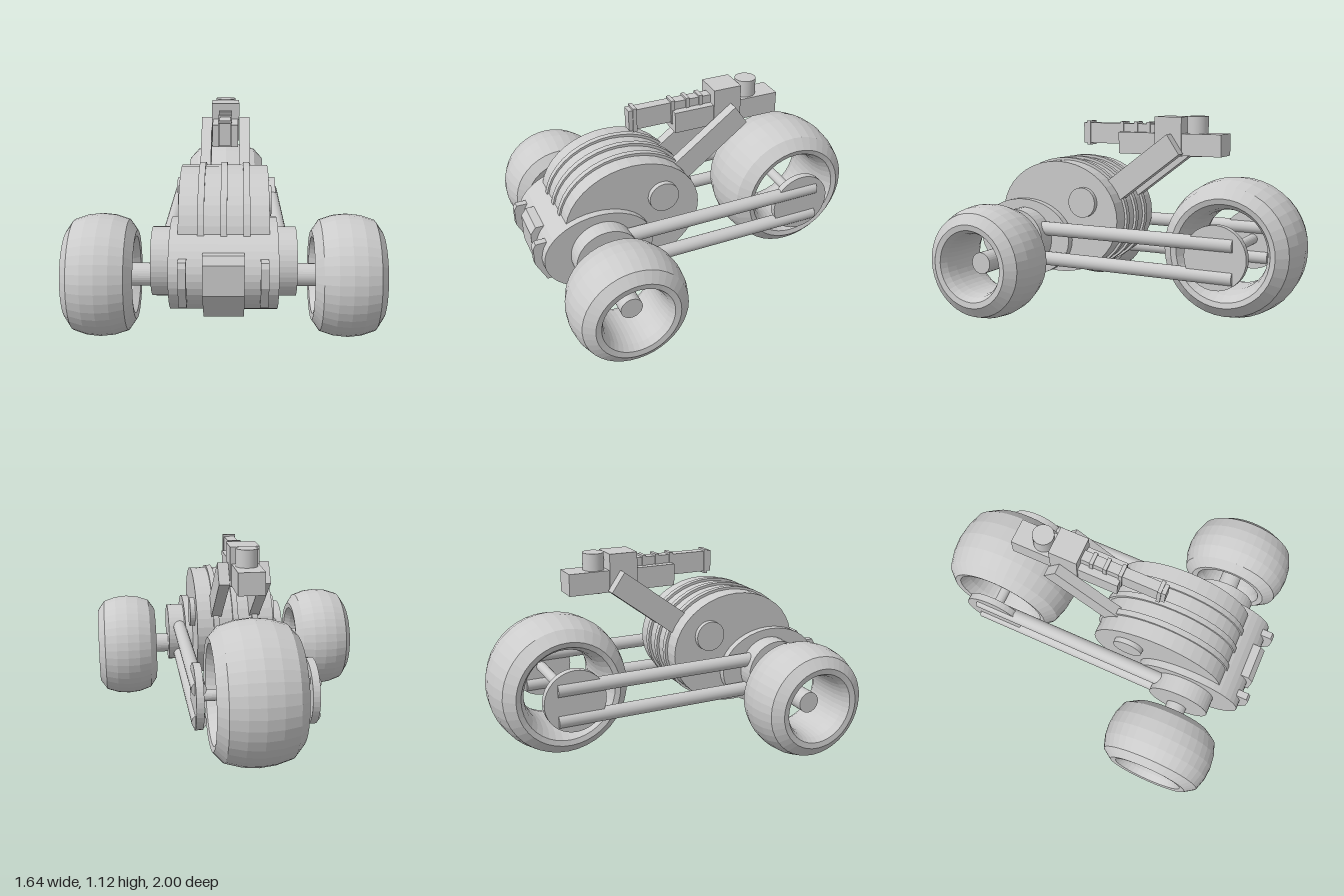
import * as THREE from 'three';

const material = new THREE.MeshStandardMaterial({ color: 0xcccccc });
const flat = new THREE.MeshStandardMaterial({ color: 0xcccccc, flatShading: true });

export function createModel() {
  const root = new THREE.Group();

  function add(name, geometry, x, y, z, mat = material) {
    const mesh = new THREE.Mesh(geometry, mat);
    mesh.name = name;
    mesh.position.set(x, y, z);
    root.add(mesh);
  }
  const box = (name, w, h, d, x, y, z) => add(name, new THREE.BoxGeometry(w, h, d), x, y, z);

  // Drum lying along x, with an elliptical section in y and z
  function drum(name, width, ry, rz, x, y, z, sides = 40) {
    const g = new THREE.CylinderGeometry(1, 1, width, sides).rotateZ(Math.PI / 2).scale(1, ry, rz);
    add(name, g, x, y, z, flat);
  }

  // Hollow balloon tyre: half profile of [radius, offset] from tread to bore, mirrored
  function tyre(name, half, x, y, z) {
    const mirrored = half.slice(0, -1).reverse().map(([r, h]) => [r, -h]);
    const loop = [...half, ...mirrored].map(([r, h]) => new THREE.Vector2(r, h));
    add(name, new THREE.LatheGeometry(loop, 40).rotateZ(Math.PI / 2), x, y, z, flat);
  }

  // Side outline of [z, y] points, extruded across x
  function slab(name, outline, width, x) {
    const shape = new THREE.Shape(outline.map(([z, y]) => new THREE.Vector2(-z, y)));
    const g = new THREE.ExtrudeGeometry(shape, { depth: width, bevelEnabled: false });
    g.translate(0, 0, -width / 2).rotateY(Math.PI / 2);
    add(name, g, x, 0, 0);
  }

  // Wheels
  const frontProfile = [[0.321, 0], [0.314, 0.07], [0.29, 0.142], [0.232, 0.182], [0.2, 0.177],
    [0.18, 0.14], [0.17, 0.08], [0.168, 0]];
  const rearProfile = [[0.395, 0], [0.386, 0.09], [0.36, 0.18], [0.3, 0.234], [0.27, 0.226],
    [0.24, 0.17], [0.225, 0.1], [0.222, 0]];
  for (const s of [-1, 1]) tyre('frontTyre', frontProfile, s * 0.636, 0.325, 0.63);
  tyre('rearTyre', rearProfile, 0, 0.403, -0.605);

  // Axles
  drum('frontAxle', 1.42, 0.06, 0.06, 0, 0.325, 0.63, 32);
  drum('rearAxle', 0.6, 0.03, 0.03, 0, 0.4, -0.605, 24);

  // Engine drum with raised cooling fins
  drum('engineDrum', 0.456, 0.328, 0.392, 0, 0.533, 0.425);
  for (const x of [-0.115, 0, 0.115]) drum('engineFin', 0.033, 0.341, 0.404, x, 0.535, 0.422);
  drum('engineSideCap', 0.515, 0.087, 0.087, 0, 0.63, 0.25, 32);

  // Front housing and hub
  drum('frontHousing', 0.54, 0.23, 0.313, 0, 0.4, 0.645);
  drum('frontHub', 0.74, 0.18, 0.18, 0, 0.4, 0.63);

  // Nose plate with a wedge running under the housing, and two lugs
  slab('nosePlate', [[0.88, 0.53], [0.95, 0.53], [0.98, 0.49], [0.98, 0.335], [0.82, 0.166],
    [0.58, 0.166], [0.58, 0.3]], 0.205, 0);
  for (const s of [-1, 1]) {
    slab('noseLug', [[0.9, 0.505], [0.985, 0.505], [1, 0.48], [1, 0.38], [0.94, 0.26], [0.88, 0.26]], 0.04, s * 0.2);
  }

  // Twin swing arms and end plates on each side of the rear wheel
  for (const s of [-1, 1]) {
    for (const y of [0.47, 0.292]) {
      const bar = new THREE.CylinderGeometry(0.04, 0.04, 1.27, 24).rotateX(Math.PI / 2);
      add('swingArm', bar, s * 0.3, y, -0.065);
    }
    drum('rearEndPlate', 0.04, 0.177, 0.177, s * 0.3, 0.397, -0.6);
  }

  // Slanted struts carrying the turret
  for (const s of [-1, 1]) {
    slab('turretStrut', [[-0.235, 1.03], [0.19, 0.715], [0.11, 0.605], [-0.31, 0.92]], 0.06, s * 0.113);
  }

  // Turret: receiver, block, drum and barrel with bands
  box('receiver', 0.146, 0.124, 0.635, 0, 0.97, -0.215);
  box('turretBlock', 0.162, 0.22, 0.165, 0, 1.015, -0.215);
  add('turretDrum', new THREE.CylinderGeometry(0.06, 0.06, 0.226, 32), 0, 1.016, -0.365);
  box('barrel', 0.06, 0.12, 0.5, 0, 1.02, 0.11);
  for (const z of [0.325, 0.1, 0.01, -0.07]) box('barrelBand', 0.074, 0.142, 0.022, 0, 1.02, z);

  return root;
}
